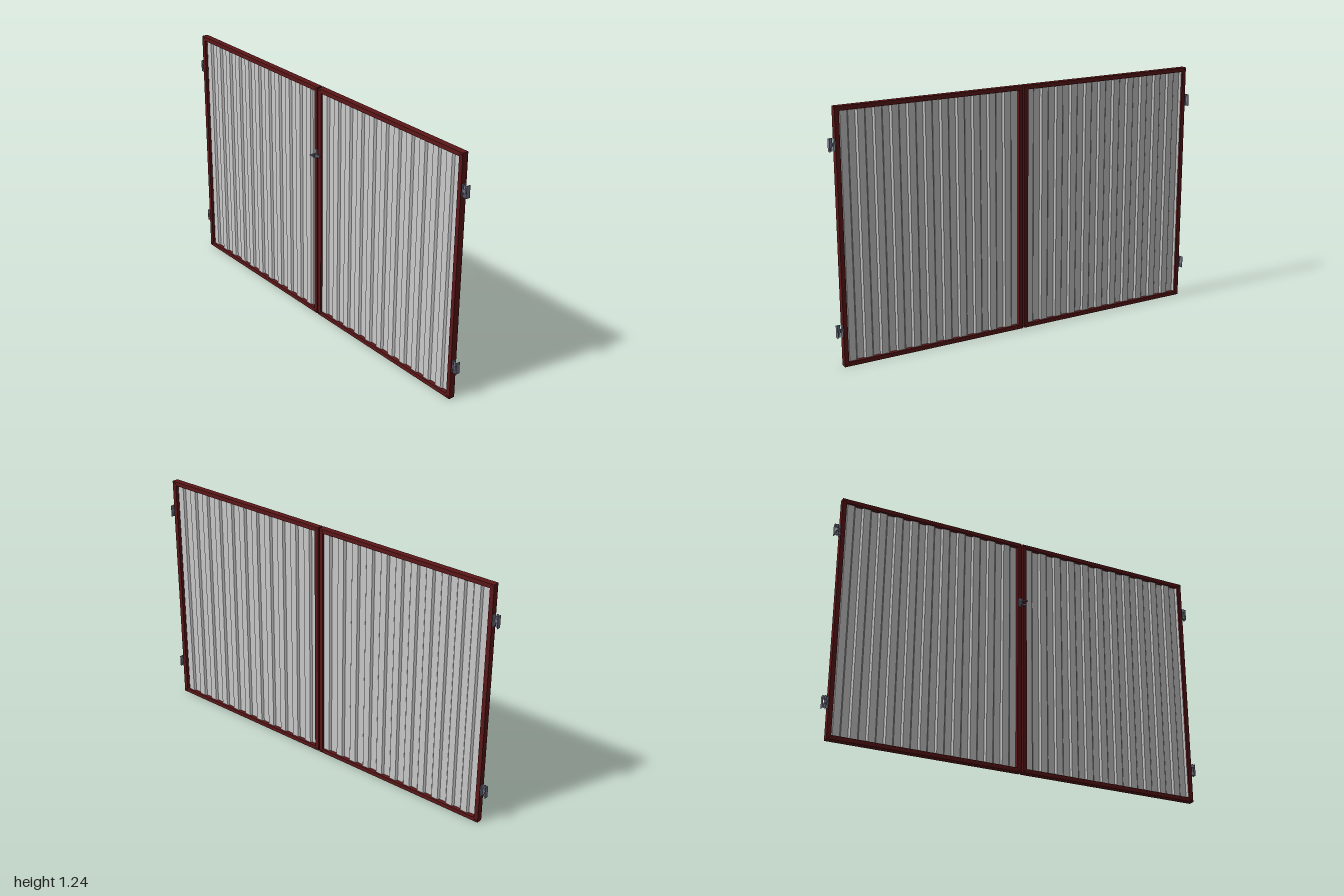
import * as THREE from 'three';

const paint = new THREE.MeshStandardMaterial({ color: 0x5c1719 });
const steel = new THREE.MeshStandardMaterial({ color: 0x77778a });
const sheet = new THREE.MeshStandardMaterial({ color: 0xcccccc, side: THREE.DoubleSide });

const MID = 0.015; // middle of the frame thickness
const DEPTH = 0.032, BAR = 0.021;
const TOP = 1.245, BOTTOM = 0.003;
const INNER = 0.004, OUTER = 0.972;

function add(parent, name, geometry, material, x, y, z) {
  const mesh = new THREE.Mesh(geometry, material);
  mesh.name = name;
  mesh.position.set(x, y, z);
  parent.add(mesh);
  return mesh;
}
const box = (x, y, z) => new THREE.BoxGeometry(x, y, z);

// Mitred rectangular frame: outline with a hole, extruded through the thickness
function frameGeometry() {
  const rect = (T, a, b, c, d) => {
    const path = new T();
    path.moveTo(a, b);
    path.lineTo(c, b);
    path.lineTo(c, d);
    path.lineTo(a, d);
    path.closePath();
    return path;
  };
  const outline = rect(THREE.Shape, INNER, BOTTOM, OUTER, TOP);
  outline.holes.push(rect(THREE.Path, INNER + BAR, BOTTOM + BAR, OUTER - BAR, TOP - BAR));
  const g = new THREE.ExtrudeGeometry(outline, { depth: DEPTH, bevelEnabled: false });
  g.rotateY(-Math.PI / 2);
  return g.translate(MID + DEPTH / 2, 0, 0);
}

// Trapezoidal profiled sheet with vertical ribs
function panelGeometry() {
  const z0 = INNER + BAR, width = OUTER - INNER - 2 * BAR, ribs = 11;
  const pitch = width / ribs, slope = 0.008, h = 0.005, t = 0.001;
  const line = [];
  for (let i = 0; i < ribs; i++) {
    const z = z0 + i * pitch;
    line.push([z, -h], [z + pitch / 2 - slope, -h], [z + pitch / 2, h], [z + pitch - slope, h]);
  }
  line.push([z0 + width, -h]);
  const points = [
    ...line.map(([z, x]) => new THREE.Vector2(x - t, -z)),
    ...line.reverse().map(([z, x]) => new THREE.Vector2(x + t, -z)),
  ];
  const g = new THREE.ExtrudeGeometry(new THREE.Shape(points), {
    depth: TOP - BOTTOM - 2 * BAR, bevelEnabled: false,
  });
  g.rotateX(-Math.PI / 2);
  return g.translate(MID, BOTTOM + BAR, 0);
}

// Hinge: leaf on the frame, leaf for the post, and a knuckled pin between them
function hinge(y, side) {
  const g = new THREE.Group();
  g.name = 'hinge';
  add(g, 'frameLeaf', box(0.022, 0.06, 0.003), steel, 0.016, y, side * 0.9735);
  add(g, 'postLeaf', box(0.022, 0.06, 0.003), steel, 0.016, y, side * 0.9985);
  add(g, 'pin', new THREE.CylinderGeometry(0.003, 0.003, 0.062, 12), steel, 0.009, y, side * 0.986);
  for (const dy of [-0.02, 0, 0.02]) {
    add(g, 'knuckle', new THREE.CylinderGeometry(0.006, 0.006, 0.018, 16), steel, 0.009, y + dy, side * 0.986);
    const arm = dy === 0 ? 0.9795 : 0.9925;
    add(g, 'knuckleArm', box(0.004, 0.018, 0.013), steel, 0.009, y + dy, side * arm);
  }
  return g;
}

// Latch with a back plate, rose, lever and bracket wedge
function latch() {
  const g = new THREE.Group();
  g.name = 'latch';
  add(g, 'backPlate', box(0.004, 0.045, 0.018), steel, -0.003, 0.903, -0.012);
  add(g, 'bolt', box(0.006, 0.01, 0.04), steel, -0.006, 0.895, 0);
  const spindle = add(g, 'spindle', new THREE.CylinderGeometry(0.004, 0.004, 0.034, 12), steel, -0.018, 0.903, -0.012);
  spindle.rotation.z = Math.PI / 2;
  add(g, 'lever', box(0.005, 0.006, 0.03), steel, -0.034, 0.903, -0.002);
  const wedge = new THREE.Shape([
    new THREE.Vector2(-0.028, 0.9), new THREE.Vector2(-0.014, 0.883),
    new THREE.Vector2(-0.009, 0.883), new THREE.Vector2(-0.004, 0.9),
  ]);
  add(g, 'bracket', new THREE.ExtrudeGeometry(wedge, { depth: 0.006, bevelEnabled: false }), steel, 0, 0, -0.015);
  return g;
}

export function createModel() {
  const model = new THREE.Group();
  model.name = 'doubleGate';
  const frame = frameGeometry(), panel = panelGeometry();

  for (const side of [1, -1]) {
    const leaf = new THREE.Group();
    leaf.name = side > 0 ? 'frontLeaf' : 'backLeaf';
    // the second leaf is the first turned about the gate's own middle line
    const turned = new THREE.Group();
    turned.name = 'leafBody';
    if (side < 0) {
      turned.rotation.y = Math.PI;
      turned.position.x = 2 * MID;
    }
    add(turned, 'frame', frame, paint, 0, 0, 0);
    add(turned, 'profiledPanel', panel, sheet, 0, 0, 0);
    // weld beads where the frame bars meet
    for (const z of [INNER + BAR / 2, OUTER - BAR / 2])
      for (const y of [BOTTOM + BAR / 2, TOP - BAR / 2])
        add(turned, 'cornerWeld', box(DEPTH + 0.004, 0.005, 0.016), paint, MID, y, z);
    leaf.add(turned, hinge(0.18, side), hinge(1.07, side));
    model.add(leaf);
  }
  model.add(latch());
  return model;
}
